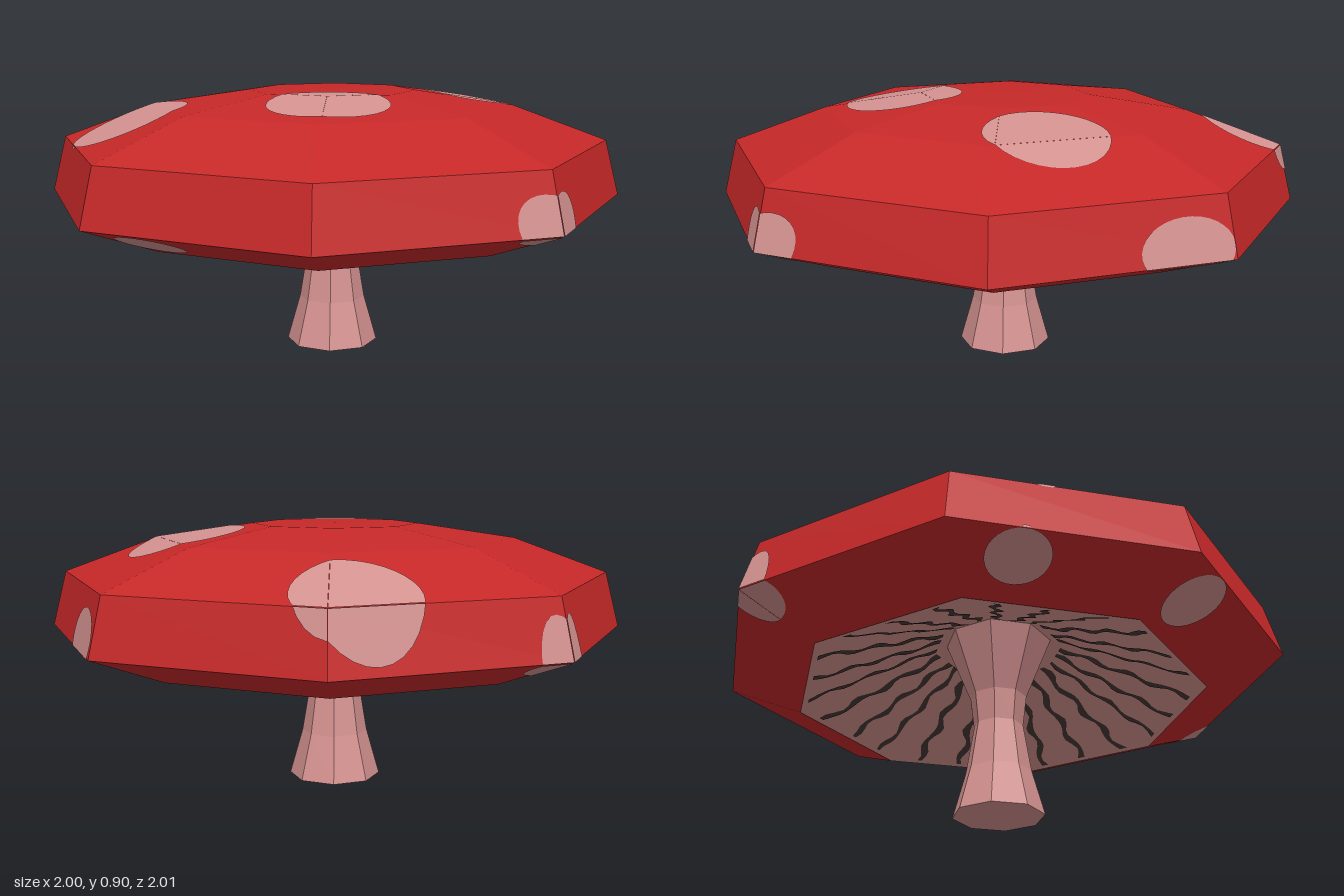
import * as THREE from 'three';

const SIDES = 8;
const V = (x, y, z) => new THREE.Vector3(x, y, z);

const material = (name, color) => {
  const m = new THREE.MeshStandardMaterial({ color });
  m.name = name;
  return m;
};

// Eight-sided faceted solid from a profile of [radius, height], listed bottom to top
function facetedLathe(profile) {
  const pts = profile.map(([r, y]) => new THREE.Vector2(r, y));
  const g = new THREE.LatheGeometry(pts, SIDES).toNonIndexed();
  g.computeVertexNormals();
  return g;
}

function fromTriangles(positions) {
  const g = new THREE.BufferGeometry();
  g.setAttribute('position', new THREE.Float32BufferAttribute(positions, 3));
  g.computeVertexNormals();
  return g;
}

// Keep the part of a polygon on the inner side of a half plane
function clip(poly, dist) {
  const out = [];
  poly.forEach((p, i) => {
    const q = poly[(i + 1) % poly.length];
    const a = dist(p), b = dist(q);
    if (a <= 0) out.push(p);
    if ((a < 0 && b > 0) || (a > 0 && b < 0)) out.push(p.clone().lerp(q, a / (a - b)));
  });
  return out;
}

// Elliptical spot projected along an axis onto the facets, so it folds over the edges
function spotGeometry(surface, { at, axis, rx, ry = rx }) {
  const centre = V(...at), n = V(...axis).normalize();
  const u = (Math.abs(n.y) > 0.99 ? V(1, 0, 0) : V(0, 1, 0).cross(n)).normalize();
  const v = n.clone().cross(u);
  const pos = surface.getAttribute('position');
  const tri = new THREE.Triangle(), normal = V(0, 0, 0), out = [];
  for (let i = 0; i < pos.count; i += 3) {
    tri.setFromAttributeAndIndices(pos, i, i + 1, i + 2);
    if (tri.getArea() < 1e-6) continue;
    tri.getNormal(normal);
    if (normal.dot(n) < 0.05) continue;
    let poly = [tri.a.clone(), tri.b.clone(), tri.c.clone()];
    for (let k = 0; k < 32 && poly.length; k++) {
      const a = (k / 32) * Math.PI * 2, c = Math.cos(a), s = Math.sin(a);
      poly = clip(poly, p => {
        const d = p.clone().sub(centre);
        return (d.dot(u) / rx) * c + (d.dot(v) / ry) * s - 1;
      });
    }
    poly.forEach(p => p.addScaledVector(normal, 0.003));
    for (let k = 1; k + 1 < poly.length; k++) {
      for (const p of [poly[0], poly[k], poly[k + 1]]) out.push(p.x, p.y, p.z);
    }
  }
  return fromTriangles(out);
}

// Wavy radial streak lying on one flat facet of the underside
function gillGeometry(facet, t, inner, outer) {
  const corner = (k, s) => {
    const a = (k / SIDES) * Math.PI * 2;
    const r = THREE.MathUtils.lerp(inner[0], outer[0], s);
    const y = THREE.MathUtils.lerp(inner[1], outer[1], s);
    return V(r * Math.sin(a), y - 0.004, r * Math.cos(a));
  };
  const steps = 18, rows = [], out = [];
  const phase = facet * 2.3 + t * 9;
  for (let i = 0; i <= steps; i++) {
    const s = 0.08 + 0.88 * (i / steps);
    const A = corner(facet, s), B = corner(facet + 1, s), len = A.distanceTo(B);
    const mid = t + (0.012 * Math.sin(s * 22 + phase)) / len;
    const half = (0.012 + 0.004 * Math.sin(s * 31 + phase * 2)) / len;
    rows.push([A.clone().lerp(B, mid - half), A.clone().lerp(B, mid + half)]);
  }
  for (let i = 0; i < steps; i++) {
    const [a, b] = rows[i], [d, c] = rows[i + 1];
    for (const p of [a, b, d, c, d, b]) out.push(p.x, p.y, p.z);
  }
  return fromTriangles(out);
}

export function createModel() {
  const model = new THREE.Group();
  model.name = 'mushroom';
  const red = material('capRed', 0xc62828);
  const pink = material('palePink', 0xd49290);
  const dark = material('gillBrown', 0x463836);

  const add = (name, geometry, mat, parent = model) => {
    const mesh = new THREE.Mesh(geometry, mat);
    mesh.name = name;
    parent.add(mesh);
  };

  // Stem, flaring where it meets the underside
  add('stem', facetedLathe([
    [0, 0], [0.16, 0], [0.115, 0.16], [0.087, 0.33], [0.1, 0.44], [0.19, 0.66],
  ]), pink);

  // Hollow underside
  const inner = [0.19, 0.66], outer = [0.73, 0.435];
  add('underside', facetedLathe([inner, outer]), pink);

  // Cap shell
  const cap = facetedLathe([
    outer, [1, 0.54], [0.95, 0.73], [0.625, 0.85], [0.29, 0.9], [0, 0.902],
  ]);
  add('cap', cap, red);

  // Spots on the top, the rim and the lower lip
  const spots = new THREE.Group();
  spots.name = 'spots';
  model.add(spots);
  [
    { at: [-0.61, 0.8, -0.33], axis: [0, 1, 0], rx: 0.19 },
    { at: [-0.24, 0.9, 0.25], axis: [0, 1, 0], rx: 0.198 },
    { at: [0.455, 0.86, 0.245], axis: [0, 1, 0], rx: 0.195 },
    { at: [0.54, 0.77, -0.65], axis: [0.3, 0.85, -0.35], rx: 0.19 },
    { at: [0, 0.545, 0.99], axis: [0, -0.5, 0.86], rx: 0.13, ry: 0.085 },
    { at: [0.93, 0.58, 0.14], axis: [0.92, -0.3, 0.38], rx: 0.15, ry: 0.085 },
    { at: [0, 0.52, -0.95], axis: [0, -0.8, -0.6], rx: 0.1 },
    { at: [-0.84, 0.485, 0.13], axis: [-0.3, -0.95, 0.1], rx: 0.11 },
    { at: [-0.72, 0.48, -0.46], axis: [-0.3, -0.9, -0.2], rx: 0.1 },
  ].forEach((s, i) => add(`spot${i + 1}`, spotGeometry(cap, s), pink, spots));

  // Gill streaks, three to each facet of the underside
  const gills = new THREE.Group();
  gills.name = 'gills';
  model.add(gills);
  for (let f = 0; f < SIDES; f++) {
    for (const t of [0.18, 0.5, 0.82]) add('gill', gillGeometry(f, t, inner, outer), dark, gills);
  }
  return model;
}
